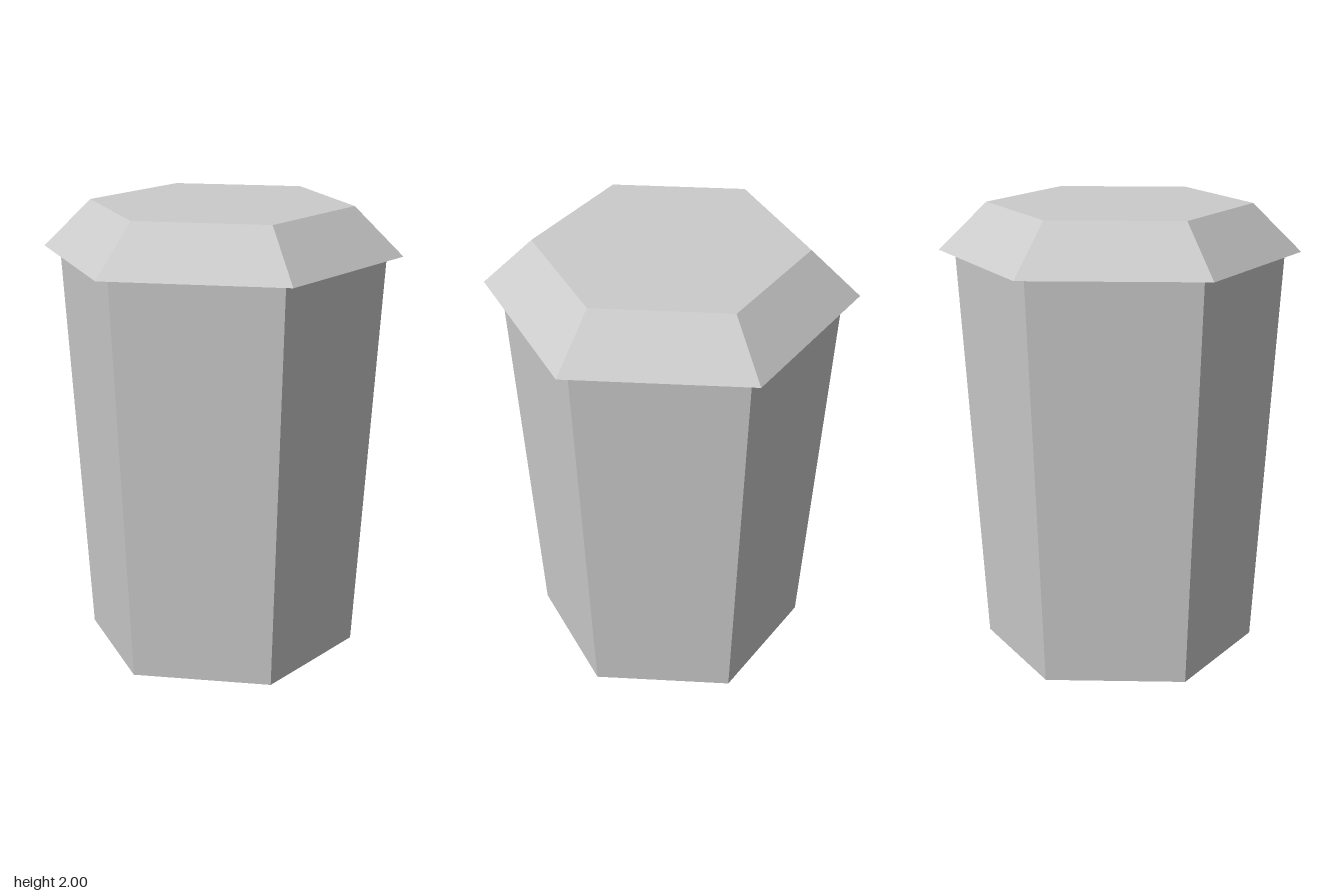
import * as THREE from 'three';

const SIDES = 6;

// Open hexagonal shell from a bottom-to-top profile of [radius, height], corners on the x axis
function hexShell(name, profile, material) {
  const points = profile.map(([r, y]) => new THREE.Vector2(r, y));
  const geometry = new THREE.LatheGeometry(points, SIDES, Math.PI / 6).toNonIndexed();
  geometry.computeVertexNormals();
  const mesh = new THREE.Mesh(geometry, material);
  mesh.name = name;
  return mesh;
}

export function createModel() {
  const grey = new THREE.MeshStandardMaterial({
    color: 0xcccccc, flatShading: true, side: THREE.DoubleSide,
  });
  grey.name = 'light grey';

  const model = new THREE.Group();
  model.name = 'hexagonalBin';

  // Tapered wall, open at both ends
  model.add(hexShell('body', [[0.605, 0], [0.715, 1.79]], grey));

  // Overhanging bevelled lid, hollow underneath
  model.add(hexShell('lid', [[0.785, 1.79], [0.573, 2], [0, 2]], grey));

  return model;
}
